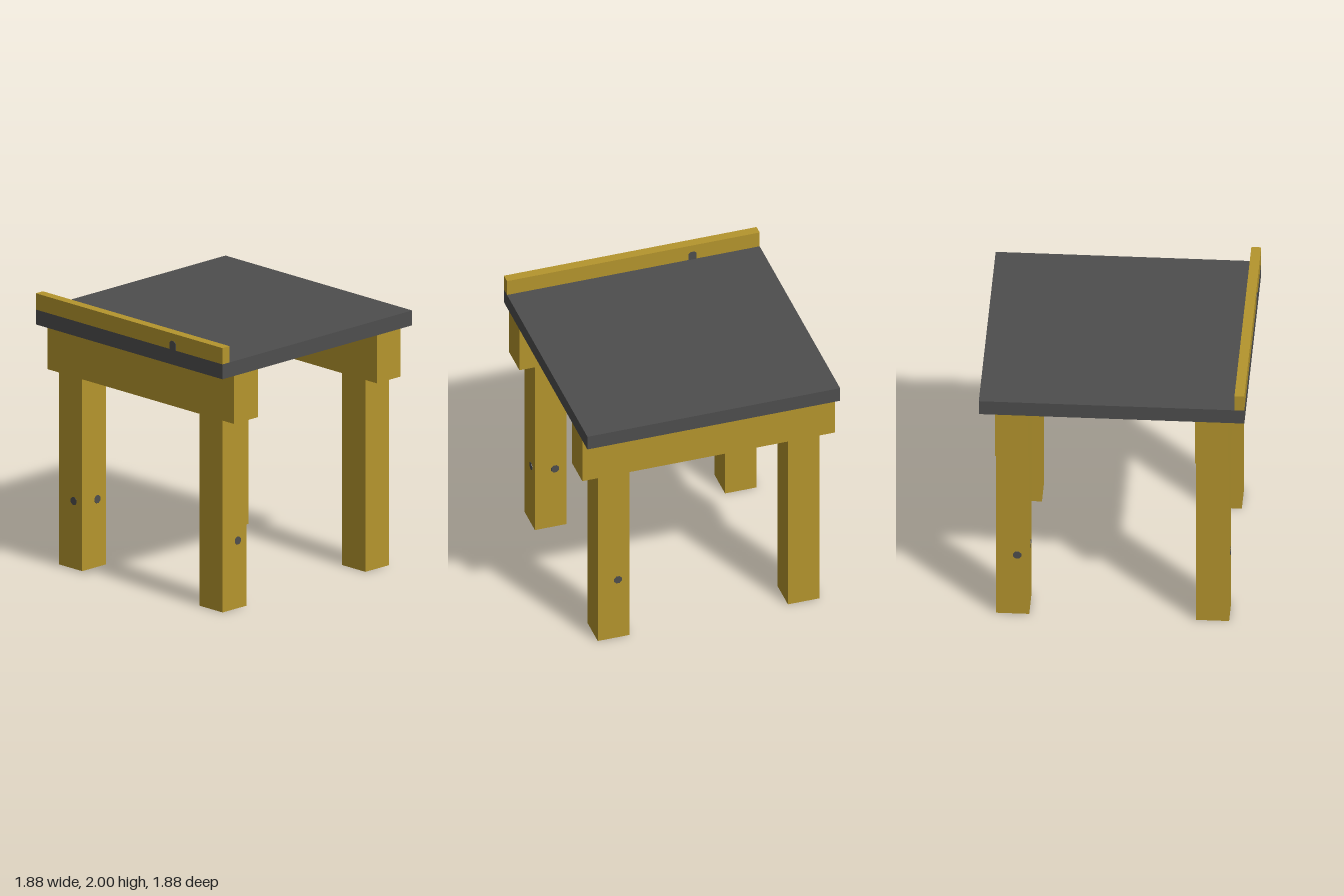
import * as THREE from 'three';

export function createModel() {
  const model = new THREE.Group();
  model.name = 'table';

  const wood = new THREE.MeshStandardMaterial({ color: 0xb5952d });
  wood.name = 'golden wood';
  const slate = new THREE.MeshStandardMaterial({ color: 0x4e4e4e });
  slate.name = 'dark grey';

  // Box given by its lower and upper limits on each axis
  function box(name, material, [x0, x1], [y0, y1], [z0, z1]) {
    const mesh = new THREE.Mesh(new THREE.BoxGeometry(x1 - x0, y1 - y0, z1 - z0), material);
    mesh.position.set((x0 + x1) / 2, (y0 + y1) / 2, (z0 + z1) / 2);
    mesh.name = name;
    model.add(mesh);
  }

  // Thin plate lying on a surface, facing along the given normal
  function plate(name, shape, position, normal) {
    const geometry = new THREE.ExtrudeGeometry(shape, { depth: 0.003, bevelEnabled: false });
    const mesh = new THREE.Mesh(geometry, slate);
    mesh.position.set(...position);
    mesh.quaternion.setFromUnitVectors(new THREE.Vector3(0, 0, 1), new THREE.Vector3(...normal));
    mesh.name = name;
    model.add(mesh);
  }

  const half = 0.94, inner = 0.59, outer = 0.825;
  const legTop = 1.416, apronTop = 1.77, slabTop = 1.88;
  const span = (s) => (s > 0 ? [inner, outer] : [-outer, -inner]);

  // Legs and the two aprons that carry the top
  for (const sz of [1, -1]) {
    const end = sz > 0 ? 'front' : 'back';
    for (const sx of [1, -1]) {
      box(end + (sx > 0 ? 'Left' : 'Right') + 'Leg', wood, span(sx), [0, legTop], span(sz));
    }
    box(end + 'Apron', wood, [-half, half], [legTop, apronTop], span(sz));
  }

  // Top slab and the raised rail on its front edge
  box('topSlab', slate, [-half, half], [apronTop, slabTop], [-half, half]);
  box('frontRail', wood, [-half, half], [slabTop, 2], [0.87, half]);

  // Small octagonal plugs
  const plug = new THREE.Shape();
  for (let i = 0; i < 8; i++) {
    const a = (i + 0.5) * Math.PI / 4;
    plug[i ? 'lineTo' : 'moveTo'](0.031 * Math.cos(a), 0.031 * Math.sin(a));
  }
  const p = 0.675, h = 0.5;
  const plugs = [
    [[-p, h, outer], [0, 0, 1]],
    [[-inner, h, p], [1, 0, 0]],
    [[outer, h, p], [1, 0, 0]],
    [[p, h, inner], [0, 0, -1]],
    [[p, h, -outer], [0, 0, -1]],
    [[-p, h, -inner], [0, 0, 1]],
    [[-outer, h, -p], [-1, 0, 0]],
    [[0.13, legTop, 0.74], [0, -1, 0]],
  ];
  for (const [position, normal] of plugs) plate('plug', plug, position, normal);

  // Notch marks on both faces of the rail, flat at the foot
  const notch = new THREE.Shape();
  notch.moveTo(-0.03, 0);
  notch.lineTo(0.03, 0);
  notch.lineTo(0.03, 0.05);
  notch.lineTo(0.015, 0.065);
  notch.lineTo(-0.015, 0.065);
  notch.lineTo(-0.03, 0.05);
  plate('railMarkFront', notch, [0.44, slabTop, half], [0, 0, 1]);
  plate('railMarkBack', notch, [-0.44, slabTop, 0.867], [0, 0, 1]);
  // Turn the rear mark so it faces backwards while staying upright
  const rear = model.children[model.children.length - 1];
  rear.rotation.set(0, Math.PI, 0);
  rear.position.z = 0.87;

  return model;
}
